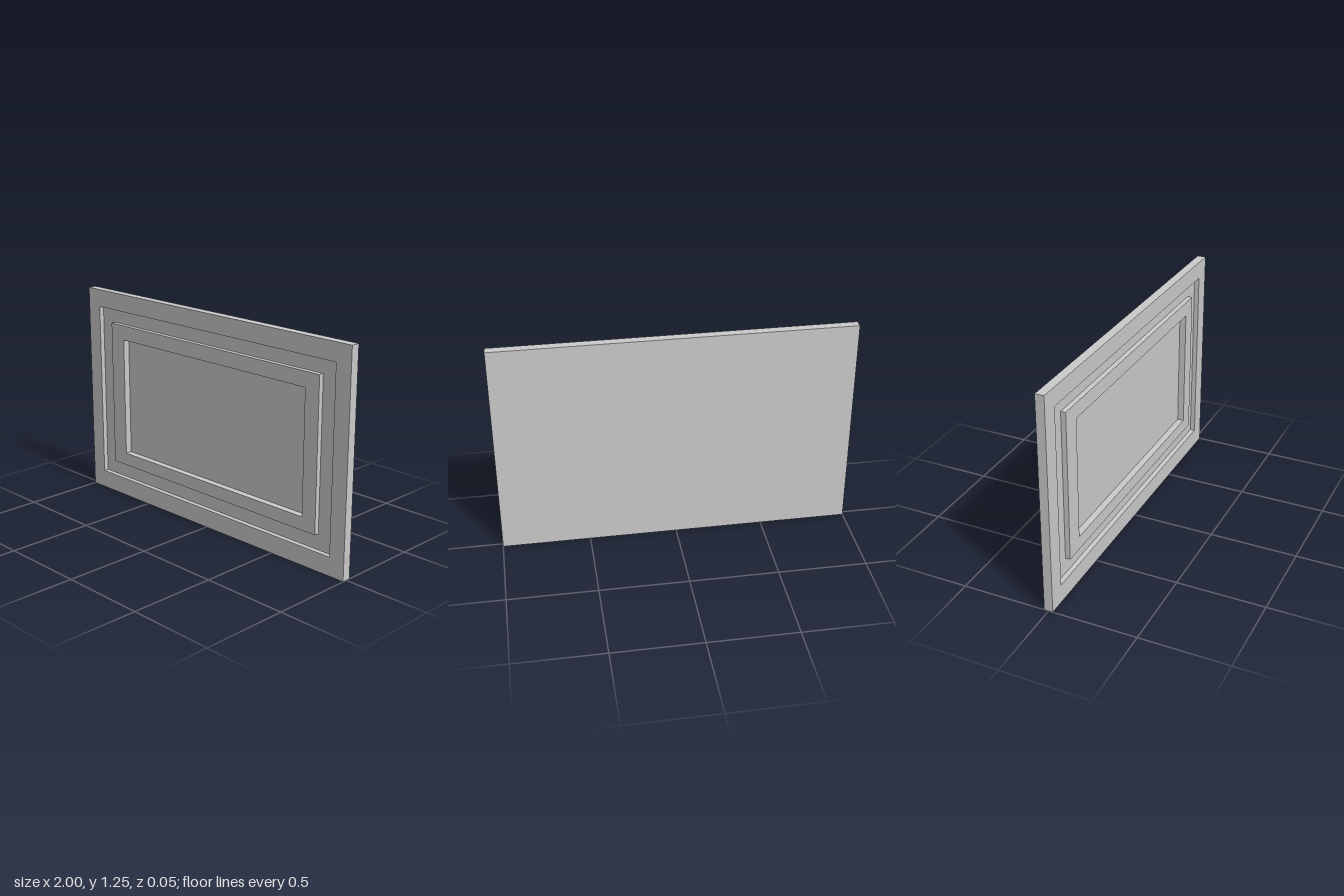
import * as THREE from 'three';

const BACK = -0.025;
const material = new THREE.MeshStandardMaterial({ color: 0xcccccc, flatShading: true });

// Corner points of a rectangle given as [left, bottom, right, top]
const corners = ([x0, y0, x1, y1]) => [
  new THREE.Vector2(x0, y0), new THREE.Vector2(x1, y0),
  new THREE.Vector2(x1, y1), new THREE.Vector2(x0, y1),
];

// Rectangular slab from the back plane up to frontZ, with an optional opening
function slab(name, outer, opening, frontZ) {
  const shape = new THREE.Shape(corners(outer));
  if (opening) shape.holes.push(new THREE.Path(corners(opening).reverse()));
  const geometry = new THREE.ExtrudeGeometry(shape, { depth: frontZ - BACK, bevelEnabled: false });
  geometry.translate(0, 0, BACK);
  const mesh = new THREE.Mesh(geometry, material);
  mesh.name = name;
  return mesh;
}

export function createModel() {
  const group = new THREE.Group();
  group.name = 'framedPanel';

  const edge = [-1, 0, 1, 1.246];
  const channelOuter = [-0.904, 0.107, 0.904, 1.144];
  const frameOuter = [-0.798, 0.198, 0.803, 1.061];
  const frameInner = [-0.691, 0.274, 0.711, 0.976];

  group.add(
    slab('outerBorder', edge, channelOuter, 0.025),
    slab('recessedChannel', channelOuter, frameOuter, -0.003),
    slab('raisedInnerFrame', frameOuter, frameInner, 0.025),
    slab('sunkenCentrePanel', frameInner, null, -0.013),
  );
  return group;
}
